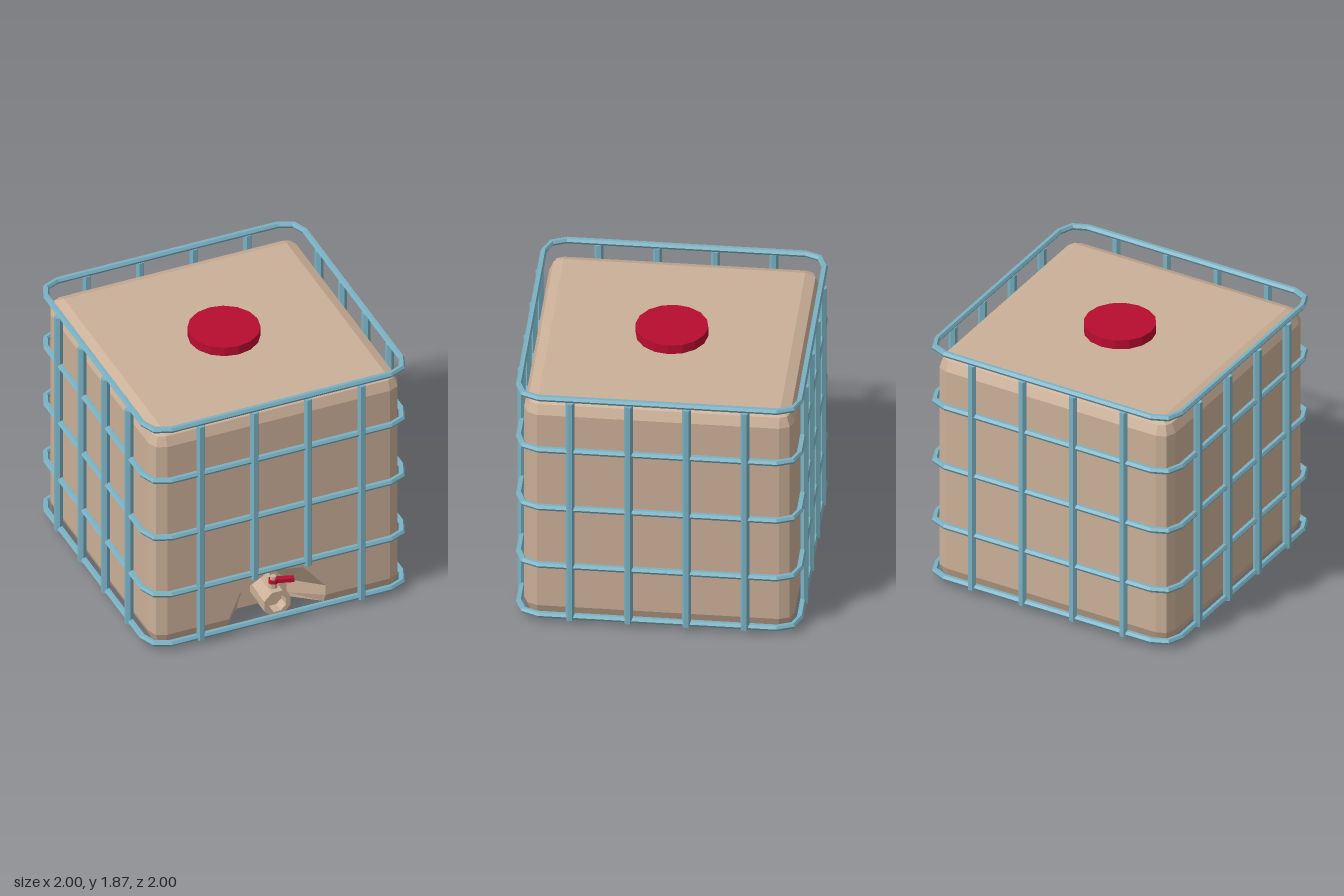
import * as THREE from 'three';

const material = (name, color) => Object.assign(new THREE.MeshStandardMaterial({ color }), { name });
const V = (x, y, z) => new THREE.Vector3(x, y, z);

// Unshared vertices give crisp facets
function flat(geometry) {
  const g = geometry.index ? geometry.toNonIndexed() : geometry;
  g.computeVertexNormals();
  return g;
}

function quads(list) {
  const points = list.flatMap(([a, b, c, d]) => [a, b, c, a, c, d]);
  return flat(new THREE.BufferGeometry().setFromPoints(points));
}

// Square loop with half-width c + r and two-step rounded corners
function squareLoop(c, r, y) {
  const loop = [];
  for (let q = 0; q < 4; q++) {
    const mid = (q + 0.5) * Math.PI / 2;
    for (let k = 0; k < 3; k++) {
      const a = q * Math.PI / 2 + k * Math.PI / 4;
      loop.push(V(Math.sign(Math.cos(mid)) * c + r * Math.cos(a), y,
        Math.sign(Math.sin(mid)) * c + r * Math.sin(a)));
    }
  }
  return loop;
}

// Skin between successive loops, leaving out the faces that skip() selects
function loft(loops, closed, skip = () => false) {
  const list = [];
  const rows = closed ? loops.length : loops.length - 1;
  for (let i = 0; i < rows; i++) {
    const low = loops[i], high = loops[(i + 1) % loops.length];
    low.forEach((p, j) => {
      const n = (j + 1) % low.length;
      if (!skip(i, j)) list.push([p, high[j], high[n], low[n]]);
    });
  }
  return quads(list);
}

const shape = (pts) => new THREE.ShapeGeometry(new THREE.Shape(pts.map(([x, y]) => new THREE.Vector2(x, y))));

export function createModel() {
  const tan = material('tank plastic', 0xcbb098);
  const steel = material('cage blue', 0x7ab2c4);
  const red = material('cap red', 0xb80d2e);

  const model = new THREE.Group();
  model.name = 'caged tank';
  const group = (name) => {
    const g = new THREE.Group();
    g.name = name;
    model.add(g);
    return g;
  };
  const add = (parent, name, geometry, mat, x = 0, y = 0, z = 0) => {
    const m = new THREE.Mesh(geometry, mat);
    m.name = name;
    m.position.set(x, y, z);
    parent.add(m);
    return m;
  };

  // Tank shell with rounded edges, open at the lower front
  const tank = group('tank');
  const c = 0.83, R = 0.1;
  const layers = [[-90, 0.12], [-45, 0.12], [0, 0.12], [0, 1.69], [45, 1.69], [90, 1.69]].map(([deg, y]) => {
    const t = deg * Math.PI / 180;
    return [R * Math.cos(t), y + R * Math.sin(t)];
  });
  add(tank, 'tankShell', loft(layers.map(([r, y]) => squareLoop(c, r, y)), false, (i, j) => i < 3 && j === 2), tan);
  add(tank, 'tankTop', quads([[V(-c, 1.79, c), V(c, 1.79, c), V(c, 1.79, -c), V(-c, 1.79, -c)]]), tan);

  // Front wall around the valve recess
  const left = -0.37, right = 0.35;
  const arch = [[left, 0.12], [-0.29, 0.31], [-0.07, 0.44], [0.18, 0.4], [right, 0.2], [right, 0.12]];
  add(tank, 'tankFront', flat(shape([[-c, 0.12], ...arch, [c, 0.12], [c, 1.69], [-c, 1.69]])), tan, 0, 0, c + R);
  const lowerEdges = [];
  for (let i = 0; i < 2; i++) {
    const [r0, y0] = layers[i], [r1, y1] = layers[i + 1];
    for (const [a, b] of [[-c, left], [right, c]]) {
      lowerEdges.push([V(a, y0, c + r0), V(b, y0, c + r0), V(b, y1, c + r1), V(a, y1, c + r1)]);
    }
  }
  add(tank, 'tankFrontLowerEdge', quads(lowerEdges), tan);

  // Recess walls narrowing to a flat back
  const backZ = 0.68;
  const under = [0, 1].map((i) => [layers[i][1], c + layers[i][0]]);
  const outer = [
    ...under.map(([y, z]) => V(left, y, z)),
    ...arch.map(([x, y]) => V(x, y, c + R)),
    ...under.reverse().map(([y, z]) => V(right, y, z)),
  ];
  const inner = [[-0.2, 0], [-0.2, 0.03], [-0.19, 0.07], [-0.14, 0.19], [-0.04, 0.28],
    [0.07, 0.25], [0.17, 0.14], [0.17, 0.07], [0.17, 0.03], [0.17, 0]];
  const innerPts = inner.map(([x, y]) => V(x, y, backZ));
  add(tank, 'recessWalls', quads(outer.slice(1).map((p, k) =>
    [outer[k], innerPts[k], innerPts[k + 1], p])), tan);
  add(tank, 'recessBack', flat(shape(inner)), tan, 0, 0, backZ);

  // Underside dips slightly toward the recess
  const base = shape([[-c, -c], [c, -c], [c, c], [right, c], [0.17, backZ], [-0.2, backZ], [left, c], [-c, c]]);
  base.rotateX(Math.PI / 2);
  const pos = base.attributes.position;
  for (let i = 0; i < pos.count; i++) pos.setY(i, Math.abs(pos.getZ(i) - backZ) < 0.001 ? 0 : 0.02);
  add(tank, 'tankBase', flat(base), tan);

  // Filler cap
  add(model, 'fillerCap', flat(new THREE.CylinderGeometry(0.25, 0.25, 0.07, 16)), red, 0, 1.825, 0);

  // Outlet valve: hollow nozzle, stem, lever
  const valve = group('outletValve');
  valve.position.set(-0.01, 0.15, 0);
  const profile = [[0.1, 0], [0.1, 0.13], [0.105, 0.14], [0.105, 0.25], [0.07, 0.25], [0.07, 0.17], [0, 0.17]];
  const nozzle = new THREE.LatheGeometry(profile.map(([x, y]) => new THREE.Vector2(x, y)), 8, Math.PI / 8);
  nozzle.rotateX(Math.PI / 2);
  add(valve, 'nozzle', flat(nozzle), tan, 0, 0, backZ);
  add(valve, 'valveStem', flat(new THREE.CylinderGeometry(0.033, 0.033, 0.07, 8)), tan, 0, 0.1, 0.86);
  add(valve, 'stemNut', flat(new THREE.CylinderGeometry(0.022, 0.022, 0.06, 8)), tan, 0, 0.155, 0.86);
  add(valve, 'leverHub', flat(new THREE.CylinderGeometry(0.036, 0.036, 0.026, 8)), red, 0, 0.148, 0.86);
  const lever = add(valve, 'lever', new THREE.BoxGeometry(0.14, 0.03, 0.04), red, 0.07, 0.15, 0.88);
  lever.rotation.y = -0.3;

  // Cage hoops with hexagonal section
  const cage = group('cage');
  for (const y of [0.07, 0.48, 0.955, 1.43, 1.855]) {
    const loops = [];
    for (let k = 0; k < 6; k++) {
      const t = k * Math.PI / 3;
      loops.push(squareLoop(0.82, 0.145 + 0.023 * Math.cos(t), y + 0.023 * Math.sin(t)));
    }
    add(cage, 'hoop', loft(loops, true), steel);
  }

  // Cage uprights; the two over the valve stop short
  for (const s of [-1, 1]) {
    for (const u of [-0.6, -0.2, 0.2, 0.6]) {
      const bottom = s > 0 && Math.abs(u) < 0.3 ? 0.445 : 0.05;
      const bar = (y0, start) => flat(new THREE.CylinderGeometry(0.031, 0.031, 1.835 - y0, 6, 1, false, start));
      add(cage, s > 0 ? 'frontUpright' : 'backUpright', bar(bottom, Math.PI / 6), steel, u, (bottom + 1.835) / 2, s * 0.972);
      add(cage, s > 0 ? 'leftUpright' : 'rightUpright', bar(0.05, 0), steel, s * 0.972, (0.05 + 1.835) / 2, u);
    }
  }
  return model;
}
